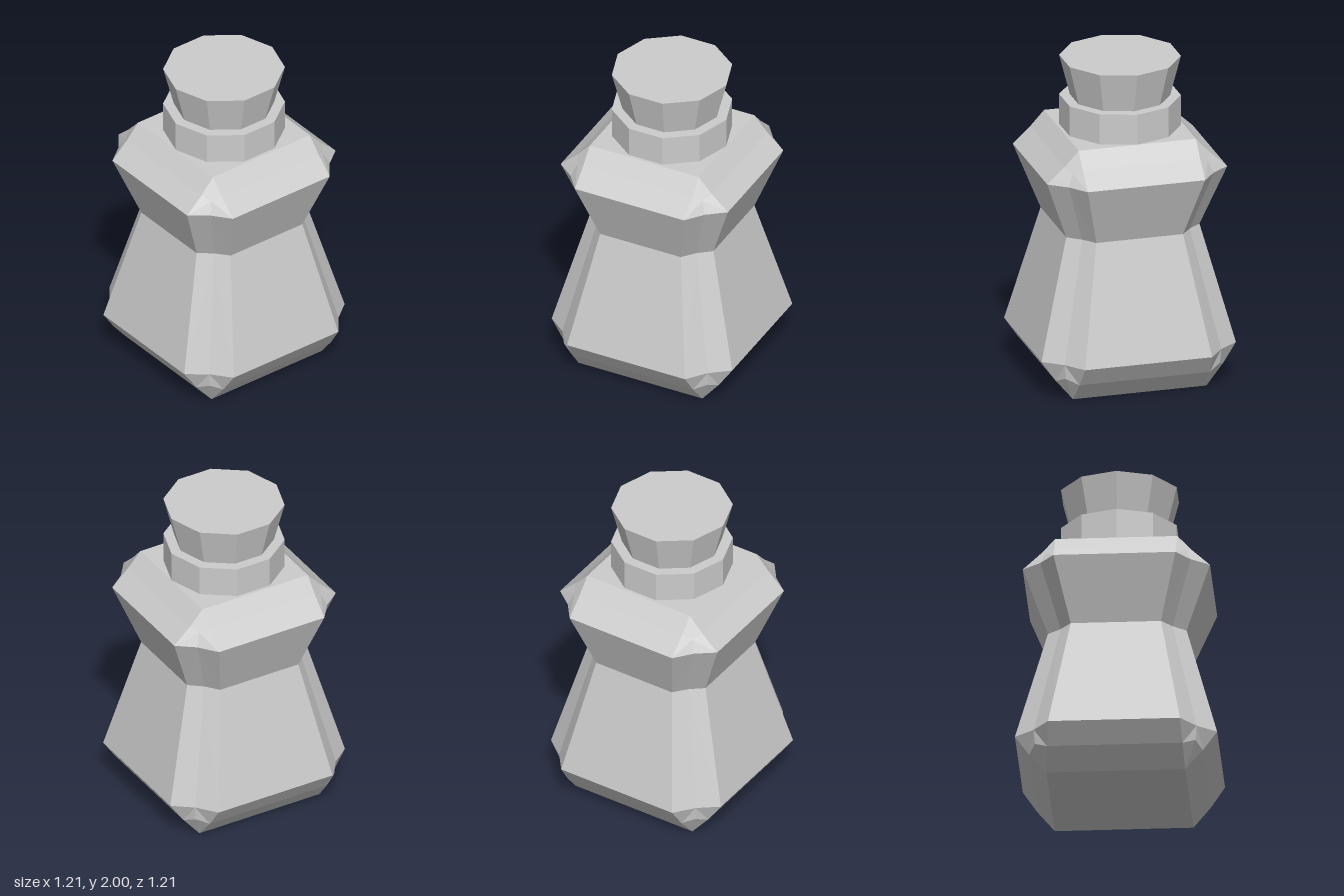
import * as THREE from 'three';

const material = new THREE.MeshStandardMaterial({ color: 0xcccccc, flatShading: true });

// Square ring with cut corners: three points per corner, the middle one slightly sunken
function ring({ half, flat, mid, y, midY = y }) {
  const points = [];
  for (let k = 0; k < 4; k++) {
    for (const [px, py, pz] of [[flat, y, half], [mid, midY, mid], [half, y, flat]]) {
      let x = px, z = pz;
      for (let r = 0; r < k; r++) [x, z] = [z, -x];
      points.push(new THREE.Vector3(x, py, z));
    }
  }
  return points;
}

// Closed skin through the rings, from the bottom up
function loft(rings) {
  const positions = [];
  const tri = (a, b, c) => {
    if (a.distanceTo(b) < 1e-6 || b.distanceTo(c) < 1e-6 || c.distanceTo(a) < 1e-6) return;
    for (const p of [a, b, c]) positions.push(p.x, p.y, p.z);
  };
  for (let j = 0; j < rings.length - 1; j++) {
    const low = rings[j], high = rings[j + 1], n = low.length;
    for (let i = 0; i < n; i++) {
      const k = (i + 1) % n;
      if (i % 3 === 0) { // mirrored diagonals on the two halves of each corner
        tri(low[i], low[k], high[k]);
        tri(low[i], high[k], high[i]);
      } else {
        tri(low[i], low[k], high[i]);
        tri(low[k], high[k], high[i]);
      }
    }
  }
  const bottom = rings[0], top = rings[rings.length - 1];
  for (let i = 1; i < top.length - 1; i++) {
    tri(bottom[0], bottom[i + 1], bottom[i]);
    tri(top[0], top[i], top[i + 1]);
  }
  const geometry = new THREE.BufferGeometry();
  geometry.setAttribute('position', new THREE.Float32BufferAttribute(positions, 3));
  geometry.computeVertexNormals();
  return geometry;
}

export function createModel() {
  const group = new THREE.Group();
  group.name = 'bottle';
  const add = (name, geometry, y = 0) => {
    const mesh = new THREE.Mesh(geometry, material);
    mesh.name = name;
    mesh.position.y = y;
    group.add(mesh);
  };

  // Waisted square body with bevelled foot and shoulder
  add('body', loft([
    { half: 0.415, flat: 0.415, mid: 0.415, y: 0 },
    { half: 0.52, flat: 0.405, mid: 0.48, y: 0.125, midY: 0.16 },
    { half: 0.605, flat: 0.395, mid: 0.487, y: 0.25 },
    { half: 0.415, flat: 0.27, mid: 0.335, y: 0.98 },
    { half: 0.56, flat: 0.365, mid: 0.45, y: 1.365 },
    { half: 0.452, flat: 0.365, mid: 0.42, y: 1.465, midY: 1.44 },
    { half: 0.365, flat: 0.365, mid: 0.365, y: 1.56 },
  ].map(ring)));

  // Ten-sided neck collar
  add('neck', new THREE.CylinderGeometry(0.364, 0.364, 0.19, 10), 1.655);

  // Stopper, widening upward
  add('stopper', new THREE.CylinderGeometry(0.364, 0.3, 0.25, 10), 1.875);

  return group;
}
